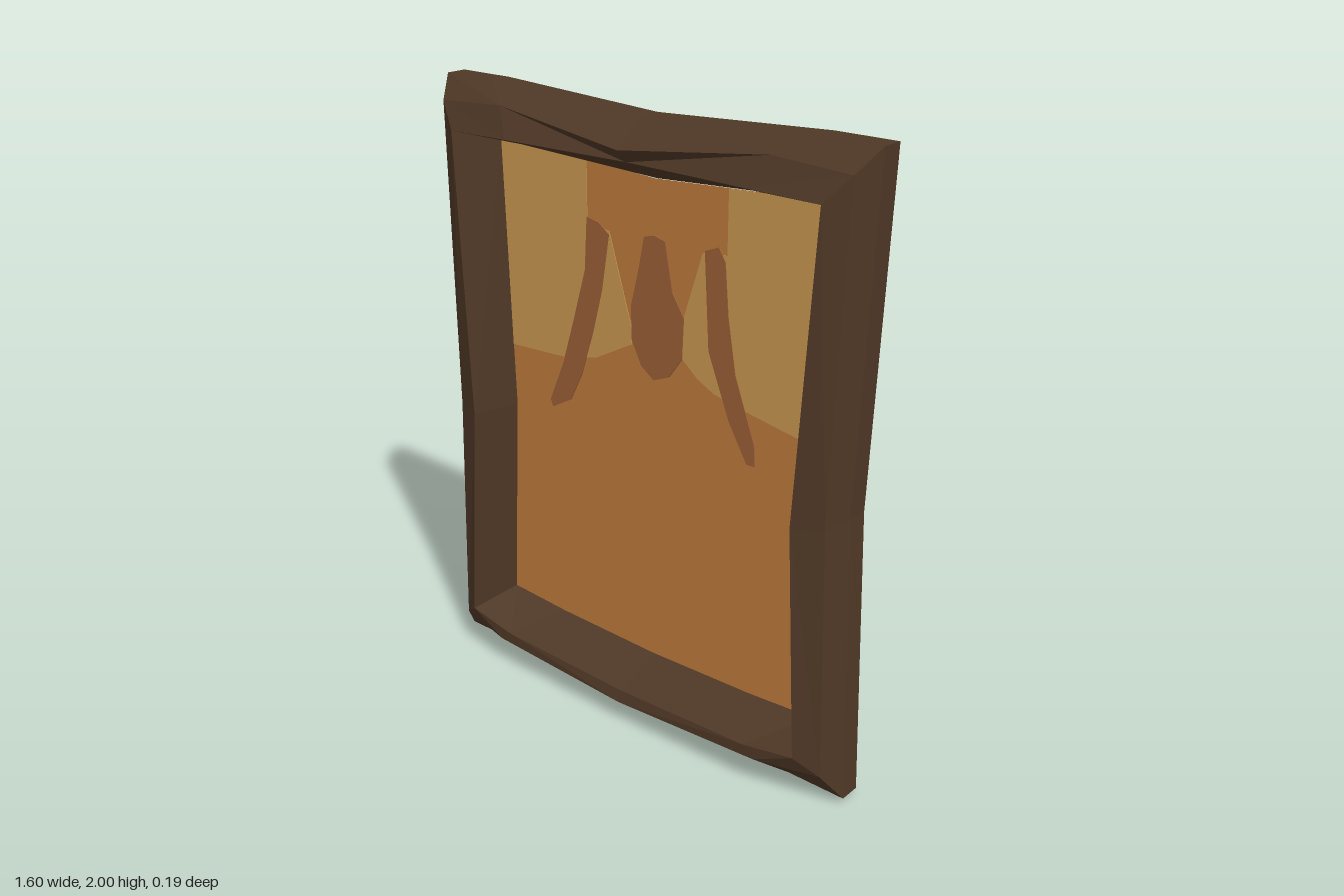
import * as THREE from 'three';

const mat = (name, color, extra = {}) => {
  const m = new THREE.MeshStandardMaterial({ color, ...extra });
  m.name = name;
  return m;
};

// Half outlines of the moulding, top centre round the left side to bottom centre: [x, y, z]
const outerBack = [[0, 1.97, -0.09], [0.6, 2, -0.09], [0.8, 2, -0.09], [0.765, 0.95, -0.09],
  [0.8, 0.03, -0.09], [0.6, 0.03, -0.09], [0, 0.005, -0.09]];
const outerFront = outerBack.map(([x, y]) => [x, y, -0.02]);
const bevel = [[0, 1.89, 0.088], [0.5, 1.945, 0.05], [0.755, 1.93, 0.045], [0.73, 0.93, 0.05],
  [0.755, 0.12, 0.045], [0.54, 0.11, 0.09], [0, 0.085, 0.095]];
const ridge = [[0, 1.85, 0.05], [0.45, 1.855, 0.086], [0.685, 1.85, 0.082], [0.635, 0.92, 0.085],
  [0.68, 0.175, 0.085], [0.5, 0.145, 0.09], [0, 0.125, 0.085]];
const inner = [[0, 1.78, -0.085], [0.35, 1.8, -0.085], [0.635, 1.815, -0.085], [0.6, 0.92, -0.085],
  [0.635, 0.215, -0.085], [0.4, 0.2, -0.085], [0, 0.19, -0.085]];

// Complete a half outline by mirroring it across x = 0
const mirrorRing = (half) => [...half, ...half.slice(1, -1).reverse().map(([x, y, z]) => [-x, y, z])];

// Join the outlines into a faceted shell, open at the back
function loft(rings) {
  const n = rings[0].length;
  const pos = [];
  for (let i = 0; i < rings.length - 1; i++) {
    for (let j = 0; j < n; j++) {
      const k = (j + 1) % n;
      const a = rings[i][j], b = rings[i][k], c = rings[i + 1][k], d = rings[i + 1][j];
      // diagonals are mirrored between the two halves
      if (j < n / 2) pos.push(...a, ...d, ...b, ...b, ...d, ...c);
      else pos.push(...a, ...c, ...b, ...a, ...d, ...c);
    }
  }
  const g = new THREE.BufferGeometry();
  g.setAttribute('position', new THREE.Float32BufferAttribute(pos, 3));
  g.computeVertexNormals();
  return g;
}

const toShape = (pts) => new THREE.Shape(pts.map(([x, y]) => new THREE.Vector2(x, y)));

export function createModel() {
  const wood = mat('dark wood', 0x4f3826, { flatShading: true, side: THREE.DoubleSide });
  const orange = mat('canvas orange', 0xbf7c3c, { side: THREE.DoubleSide });
  const tan = mat('canvas tan', 0xcb9951);
  const brown = mat('canvas brown', 0x9b6036);

  const model = new THREE.Group();
  const add = (name, geometry, material, z = 0) => {
    const mesh = new THREE.Mesh(geometry, material);
    mesh.name = name;
    mesh.position.z = z;
    model.add(mesh);
  };
  const canvasZ = -0.08;
  // Painted patch, showing on both faces of the canvas
  const patch = (name, pts, material, depth) => add(name,
    new THREE.ExtrudeGeometry(toShape(pts), { depth, bevelEnabled: false }), material, canvasZ - depth / 2);

  // Frame and canvas
  add('frame', loft([outerBack, outerFront, bevel, ridge, inner].map(mirrorRing)), wood);
  add('canvas', new THREE.ShapeGeometry(toShape(mirrorRing(inner))), orange, canvasZ);

  // Light upper areas
  patch('rightLightArea', [[-0.632, 1.812], [-0.27, 1.794], [-0.27, 1.6], [-0.18, 1.59], [-0.09, 1.3],
    [-0.09, 1.25], [-0.24, 1.17], [-0.38, 1.14], [-0.607, 1.13]], tan, 0.004);
  patch('leftLightArea', [[0.632, 1.812], [0.27, 1.794], [0.27, 1.6], [0.18, 1.59], [0.11, 1.37],
    [0.11, 1.25], [0.17, 1.2], [0.23, 1.17], [0.32, 1.15], [0.606, 1.1]], tan, 0.004);

  // Dark hanging strokes
  patch('rightStroke', [[-0.27, 1.62], [-0.22, 1.61], [-0.18, 1.58], [-0.21, 1.4], [-0.25, 1.25], [-0.3, 1.1],
    [-0.35, 1.0], [-0.43, 0.955], [-0.44, 0.98], [-0.38, 1.12], [-0.33, 1.28], [-0.28, 1.45]], brown, 0.008);
  patch('leftStroke', [[0.19, 1.6], [0.24, 1.62], [0.265, 1.58], [0.28, 1.42], [0.31, 1.25], [0.385, 1.05],
    [0.39, 0.98], [0.36, 0.98], [0.29, 1.1], [0.21, 1.3], [0.2, 1.45]], brown, 0.008);
  patch('centreStroke', [[-0.04, 1.6], [0, 1.61], [0.04, 1.6], [0.07, 1.45], [0.115, 1.38], [0.11, 1.25],
    [0.06, 1.18], [0, 1.155], [-0.05, 1.19], [-0.09, 1.27], [-0.09, 1.38], [-0.06, 1.5]], brown, 0.008);

  return model;
}
